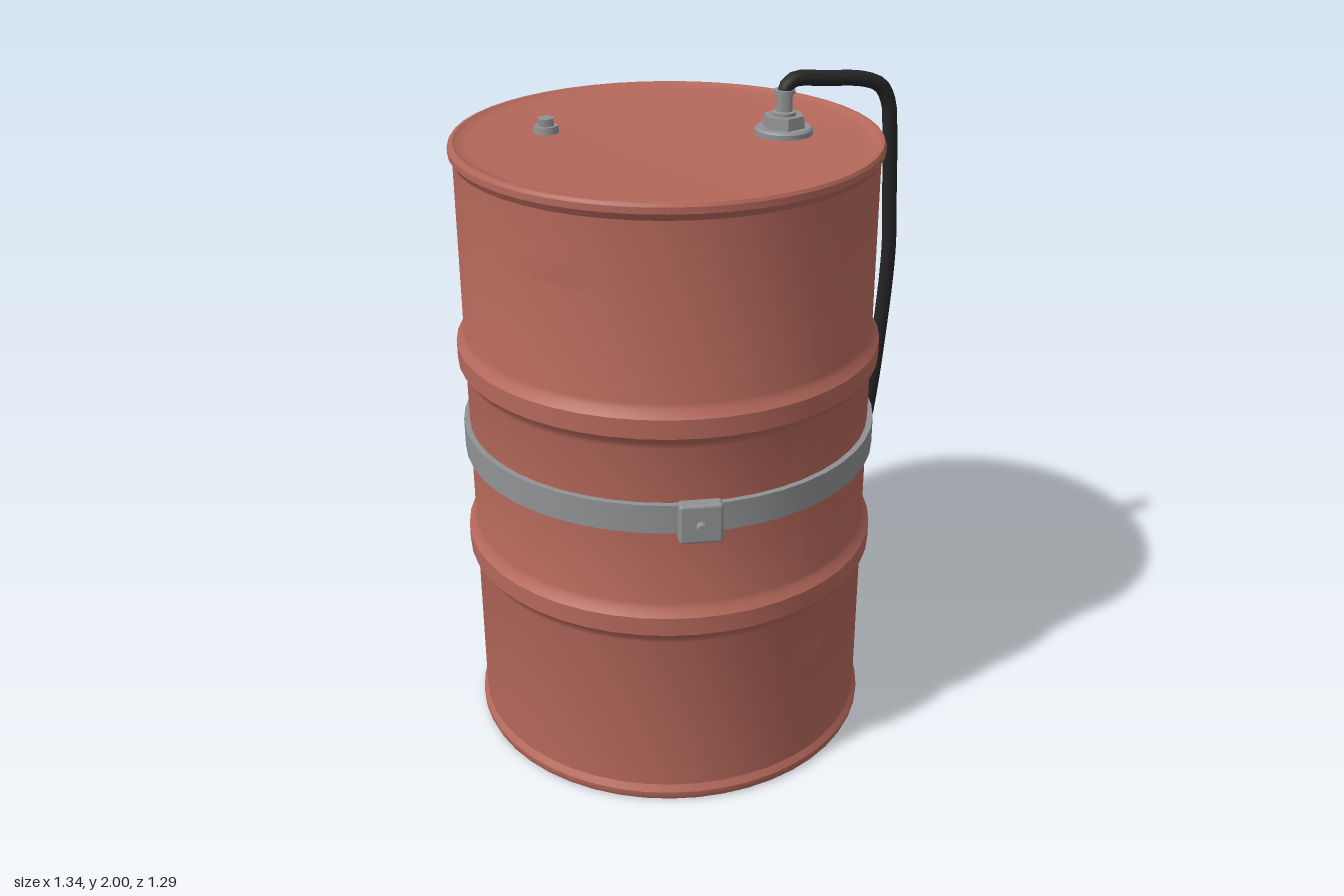
import * as THREE from 'three';
import { toCreasedNormals } from 'three/addons/utils/BufferGeometryUtils.js';
import { RoundedBoxGeometry } from 'three/addons/geometries/RoundedBoxGeometry.js';

const R = 0.595; // drum wall radius
const CX = -0.053, CZ = -0.027; // drum axis

const red = new THREE.MeshStandardMaterial({ name: 'red paint', color: 0xb5685b });
const steel = new THREE.MeshStandardMaterial({ name: 'grey steel', color: 0x909294 });
const rubber = new THREE.MeshStandardMaterial({ name: 'black rubber', color: 0x262626 });

function add(parent, name, geometry, material, x = 0, y = 0, z = 0) {
  const mesh = new THREE.Mesh(geometry, material);
  mesh.name = name;
  mesh.position.set(x, y, z);
  parent.add(mesh);
  return mesh;
}

function lathe(points, segments = 48, crease = 0.5) {
  const g = new THREE.LatheGeometry(points.map(([r, y]) => new THREE.Vector2(r, y)), segments);
  return toCreasedNormals(g, crease);
}

// Rolling hoop cross-section around height y
const hoop = (y) => [[R, y - 0.065], [R + 0.005, y - 0.05], [R + 0.022, y - 0.028],
  [R + 0.022, y + 0.028], [R + 0.005, y + 0.05], [R, y + 0.065]];

// Paint flake: a star-shaped outline of [degrees, height] points wrapped on the wall
function flake(angle, y, outline) {
  const pos = [], index = [], rings = 5, sub = 3, n = outline.length * sub;
  for (let r = 0; r <= rings; r++) {
    for (let i = 0; i < n; i++) {
      const a = outline[Math.floor(i / sub)];
      const b = outline[(Math.floor(i / sub) + 1) % outline.length];
      const t = (i % sub) / sub, k = r / rings;
      const th = THREE.MathUtils.degToRad(angle + k * (a[0] + (b[0] - a[0]) * t));
      pos.push(Math.sin(th) * (R + 0.003), y + k * (a[1] + (b[1] - a[1]) * t), Math.cos(th) * (R + 0.003));
      if (r < rings) {
        const p = r * n + i, q = r * n + (i + 1) % n;
        index.push(p, p + n, q + n, p, q + n, q);
      }
    }
  }
  const g = new THREE.BufferGeometry();
  g.setAttribute('position', new THREE.Float32BufferAttribute(pos, 3));
  g.setIndex(index);
  g.computeVertexNormals();
  return g;
}

export function createModel() {
  const model = new THREE.Group();
  model.name = 'drumWithHose';
  const drum = new THREE.Group();
  drum.name = 'drum';
  drum.position.set(CX, 0, CZ);
  model.add(drum);

  // Shell with rolled rims, two hoops and a slightly sunken lid
  add(drum, 'shell', lathe([
    [0, 0.006], [0.575, 0.006], [0.59, 0], [0.602, 0.004], [0.607, 0.016], [0.607, 0.03], [R, 0.05],
    ...hoop(0.617), ...hoop(1.228),
    [R, 1.79], [0.607, 1.81], [0.607, 1.828], [0.602, 1.837], [0.592, 1.838],
    [0.583, 1.832], [0.555, 1.828], [0, 1.828],
  ]), red);

  // Flaking paint
  const flakes = [
    [-37, 1.63, [[-12, 0.005], [-5, -0.03], [5, -0.03], [8, -0.04], [11, -0.02], [9, 0.005], [11, 0.035], [5, 0.038], [-3, 0.025]]],
    [35, 0.41, [[-6, 0.02], [-5, -0.02], [0, -0.05], [4, -0.03], [6, 0], [5, 0.045], [0, 0.035], [-4, 0.05]]],
    [112, 0.315, [[-10, -0.01], [-5, -0.05], [4, -0.065], [7, -0.03], [11, 0.015], [6, 0.04], [1, 0.035], [-3, 0.065], [-4, 0.03]]],
    [222, 1.115, [[-8, 0.03], [-7, -0.03], [-2, -0.02], [3, -0.04], [8, -0.01], [9, 0.035], [2, 0.045]]],
  ];
  flakes.forEach(([a, y, o]) => add(drum, 'paintFlake', flake(a, y, o), red));

  // Steel strap, its clasp and bolt
  add(drum, 'strap', lathe([[R - 0.003, 0.915], [0.612, 0.915], [0.612, 1], [R - 0.003, 1]]), steel);
  add(drum, 'claspPlate', new RoundedBoxGeometry(0.12, 0.118, 0.042, 2, 0.01), steel, 0, 0.962, 0.633);
  const bolt = add(drum, 'claspBolt', new THREE.CylinderGeometry(0.015, 0.015, 0.03, 8), steel, 0, 0.958, 0.66);
  bolt.rotation.x = Math.PI / 2;

  // Large bung with hexagonal nut and hose neck
  const bung = new THREE.Group();
  bung.name = 'largeBung';
  bung.position.set(0.277, 0, -0.027);
  model.add(bung);
  add(bung, 'flange', lathe([[0, 1.825], [0.082, 1.825], [0.082, 1.842], [0.076, 1.848], [0, 1.848]], 24), steel);
  const hex = new THREE.CylinderGeometry(0.058, 0.062, 0.034, 6).toNonIndexed();
  hex.computeVertexNormals();
  add(bung, 'hexNut', hex, steel, 0, 1.864, 0);
  add(bung, 'neck', lathe([[0.034, 1.878], [0.034, 1.89], [0.023, 1.892], [0.023, 1.94], [0.03, 1.942], [0.03, 1.952], [0, 1.952]], 16), steel);

  // Small bung
  const plug = new THREE.Group();
  plug.name = 'smallBung';
  plug.position.set(-0.382, 0, -0.132);
  model.add(plug);
  add(plug, 'flange', new THREE.CylinderGeometry(0.034, 0.037, 0.022, 16), steel, 0, 1.837, 0);
  add(plug, 'hexNut', new THREE.CylinderGeometry(0.025, 0.025, 0.024, 6), steel, 0, 1.857, 0);

  // Hose bends over the rim and hangs down beside the drum
  const path = new THREE.CatmullRomCurve3([
    [0.277, 1.94, -0.027], [0.283, 1.963, -0.027], [0.305, 1.978, -0.033], [0.4, 1.97, -0.062],
    [0.52, 1.955, -0.098], [0.575, 1.93, -0.115], [0.603, 1.88, -0.127], [0.615, 1.8, -0.137],
    [0.632, 1.6, -0.16], [0.648, 1.4, -0.188], [0.644, 1.1, -0.228], [0.632, 0.82, -0.272],
    [0.61, 0.5, -0.358], [0.587, 0.212, -0.438],
  ].map((p) => new THREE.Vector3(...p)), false, 'centripetal');
  add(model, 'hose', new THREE.TubeGeometry(path, 90, 0.022, 12, false), rubber);
  [0, 1].forEach((t) => {
    const end = path.getPointAt(t), dir = path.getTangentAt(t).multiplyScalar(t ? 1 : -1);
    const cap = add(model, 'hoseEnd', new THREE.CircleGeometry(0.022, 12), rubber, end.x, end.y, end.z);
    cap.quaternion.setFromUnitVectors(new THREE.Vector3(0, 0, 1), dir);
  });
  return model;
}
